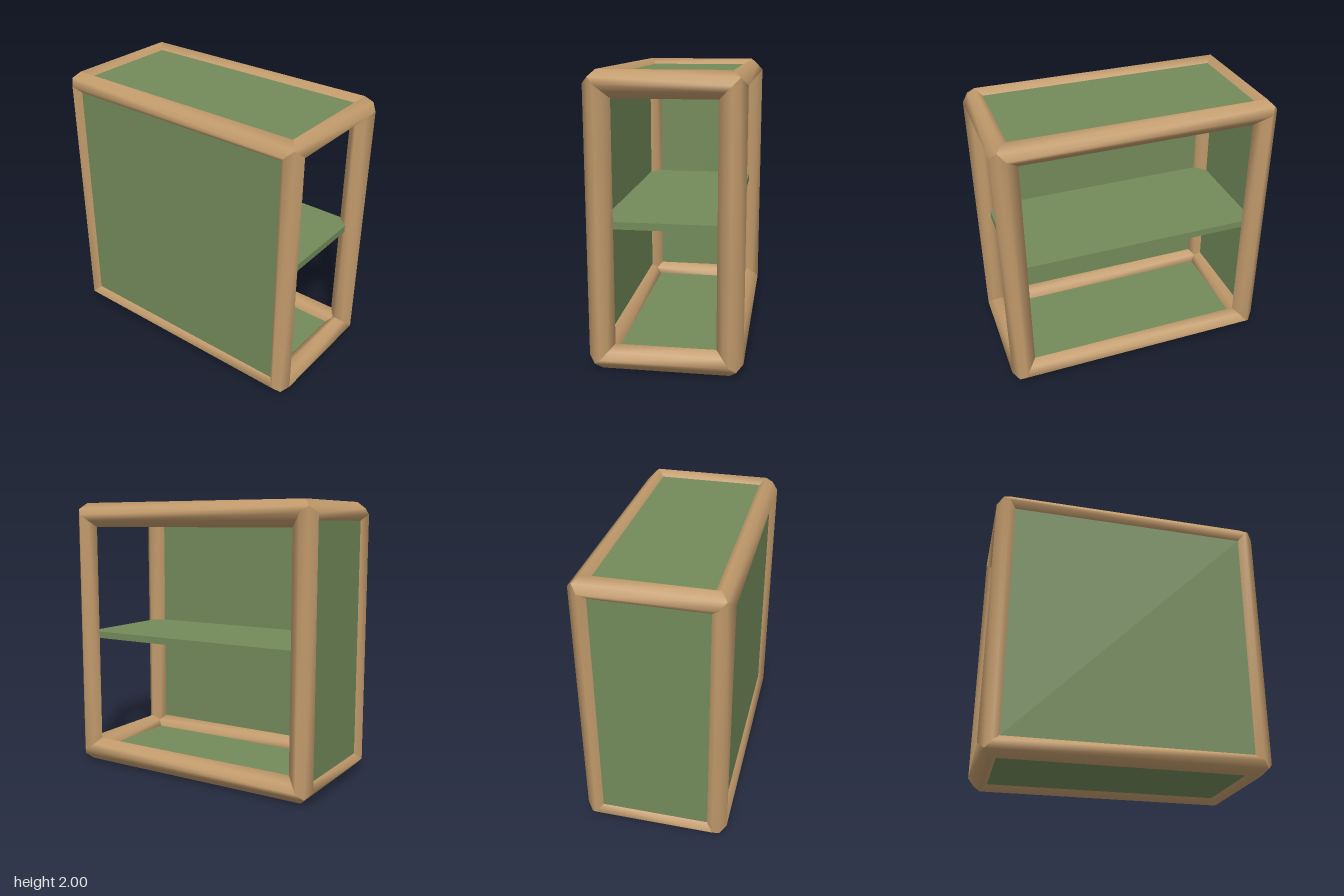
import * as THREE from 'three';

const HALF = [0.91, 0.91, 0.43]; // half distances between bar centre lines (x, y, z)
const R = 0.09;                  // half diagonal of the diamond-section bars
const THICK = 0.05;              // board thickness

const wood = new THREE.MeshStandardMaterial({ color: 0xc19a6b });
const green = new THREE.MeshStandardMaterial({ color: 0x738a5a });

// Diamond-section bar along one axis, mitred where three bars meet at a corner
function makeBar(axis, sb, sc) {
  const b = (axis + 1) % 3, c = (axis + 2) % 3;
  const h = R / 2;
  const section = [[R, 0], [h, h], [0, R], [-h, h], [-R, 0], [-h, -h], [0, -R], [h, -h]];
  const n = section.length, positions = [], index = [];
  for (const end of [-1, 1]) {
    for (const [v, w] of section) {
      const p = [0, 0, 0];
      p[axis] = end * (HALF[axis] + Math.min(v, w));
      p[b] = sb * (HALF[b] + v);
      p[c] = sc * (HALF[c] + w);
      positions.push(...p);
    }
  }
  for (let i = 0; i < n; i++) {
    const j = (i + 1) % n;
    if (sb * sc > 0) index.push(i, j, n + j, i, n + j, n + i);
    else index.push(i, n + j, j, i, n + i, n + j);
  }
  const geo = new THREE.BufferGeometry();
  geo.setAttribute('position', new THREE.Float32BufferAttribute(positions, 3));
  geo.setIndex(index);
  geo.computeVertexNormals();
  return new THREE.Mesh(geo, wood);
}

// Flat board across one axis, reaching to the centre lines of the bars
function makeBoard(name, axis, offset) {
  const size = HALF.map((v, i) => (i === axis ? THICK : 2 * v));
  const mesh = new THREE.Mesh(new THREE.BoxGeometry(...size), green);
  mesh.position.setComponent(axis, offset);
  mesh.name = name;
  return mesh;
}

export function createModel() {
  const model = new THREE.Group();
  model.name = 'cabinet';
  const body = new THREE.Group();
  body.name = 'body';
  body.position.y = 1;
  model.add(body);

  // Twelve frame bars
  const frame = new THREE.Group();
  frame.name = 'frame';
  ['widthBar', 'upright', 'depthBar'].forEach((name, axis) => {
    for (const sb of [-1, 1]) {
      for (const sc of [-1, 1]) {
        const bar = makeBar(axis, sb, sc);
        bar.name = name;
        frame.add(bar);
      }
    }
  });
  body.add(frame);

  // Boards sit toward the outside of the frame; back and left side stay open
  const out = R / 2 - THICK / 2;
  body.add(
    makeBoard('frontPanel', 2, HALF[2] + out),
    makeBoard('rightPanel', 0, -HALF[0] - out),
    makeBoard('topPanel', 1, HALF[1] + out),
    makeBoard('bottomPanel', 1, -HALF[1] - out),
    makeBoard('shelf', 1, 0)
  );
  return model;
}
